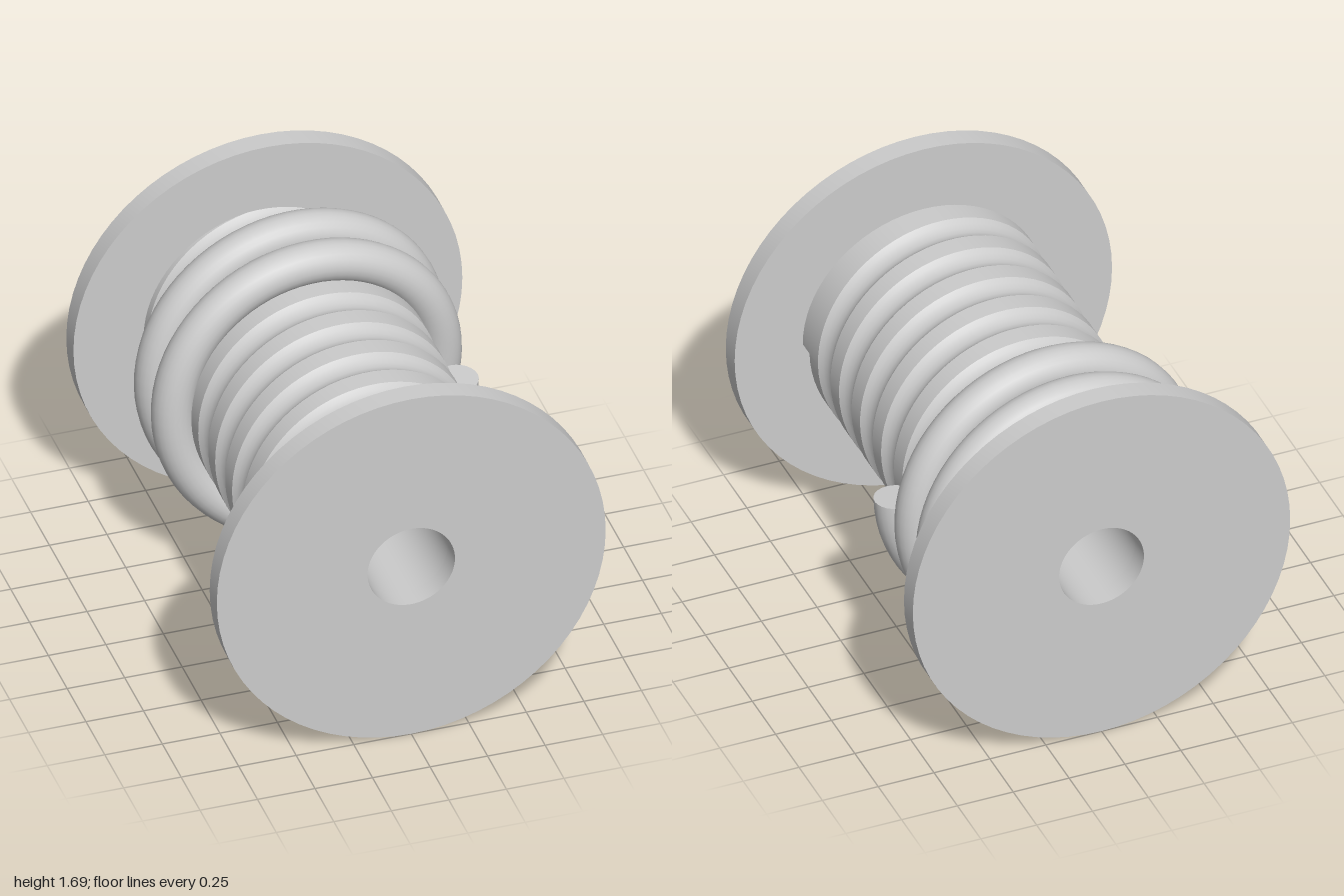
import * as THREE from 'three';
import { toCreasedNormals } from 'three/addons/utils/BufferGeometryUtils.js';

const AXIS_Y = 0.845, FLANGE_R = 0.845, BORE_R = 0.19, FLANGE_T = 0.095;
const DRUM_R = 0.54, PITCH = 0.225, TURNS = 8, Z0 = 0.9, Z_END = 0.97;
const ROPE_R = 0.09, COIL_R = 0.6;

// Point on the winding helix after t turns
function helix(t, r) {
  const a = t * Math.PI * 2;
  return new THREE.Vector3(r * Math.cos(a), -r * Math.sin(a), Z0 - PITCH * t);
}

// Groove section: the arc a rope leaves in the drum, as [axial offset, radius]
function grooveProfile(steps = 6) {
  const half = Math.acos((COIL_R - DRUM_R) / ROPE_R);
  return Array.from({ length: steps + 1 }, (_, i) => {
    const a = half * (1 - (2 * i) / steps);
    return [ROPE_R * Math.sin(a), COIL_R - ROPE_R * Math.cos(a)];
  });
}

// Drum skin whose rows follow the spiral groove
function drumGeometry(columns = 72) {
  const profile = grooveProfile(), pos = [], index = [];
  const rows = TURNS * profile.length + 2;
  for (let i = 0; i <= columns; i++) {
    const s = i / columns;
    const add = (r, z) => { const p = helix(s, r); pos.push(p.x, p.y, z); };
    add(DRUM_R, Z_END);
    for (let k = 0; k < TURNS; k++)
      for (const [dz, r] of profile) add(r, Z0 - PITCH * (k + s) + dz);
    add(DRUM_R, -Z_END);
    if (i === columns) break;
    for (let j = 0; j < rows - 1; j++) {
      const a = i * rows + j, b = a + rows;
      index.push(a, b, a + 1, b, b + 1, a + 1);
    }
  }
  const g = new THREE.BufferGeometry();
  g.setAttribute('position', new THREE.Float32BufferAttribute(pos, 3));
  g.setIndex(index);
  return toCreasedNormals(g, 0.5);
}

class HelixCurve extends THREE.Curve {
  constructor(t0, t1) { super(); this.t0 = t0; this.t1 = t1; }
  getPoint(u, target = new THREE.Vector3()) {
    return target.copy(helix(this.t0 + (this.t1 - this.t0) * u, COIL_R));
  }
}

export function createModel() {
  const model = new THREE.Group();
  const grey = new THREE.MeshStandardMaterial({ color: 0xcccccc });
  const greyDouble = new THREE.MeshStandardMaterial({ color: 0xcccccc, side: THREE.DoubleSide });
  const spool = new THREE.Group();
  spool.name = 'spool';
  spool.position.y = AXIS_Y;
  model.add(spool);
  const part = (name, geometry, material = grey, parent = spool) => {
    const mesh = new THREE.Mesh(geometry, material);
    mesh.name = name;
    parent.add(mesh);
    return mesh;
  };

  // End flanges with a central hole
  const ring = new THREE.Shape().absarc(0, 0, FLANGE_R, 0, Math.PI * 2);
  ring.holes.push(new THREE.Path().absarc(0, 0, BORE_R, 0, Math.PI * 2, true));
  const flange = toCreasedNormals(
    new THREE.ExtrudeGeometry(ring, { depth: FLANGE_T, bevelEnabled: false, curveSegments: 36 }), 0.5);
  part('frontFlange', flange).position.z = 1 - FLANGE_T;
  part('backFlange', flange).position.z = -1;

  // Bore through the whole spool
  const bore = new THREE.CylinderGeometry(BORE_R, BORE_R, 2 - 2 * FLANGE_T, 72, 1, true);
  part('bore', bore.rotateX(Math.PI / 2), greyDouble);

  // Grooved drum, with the small walls where the groove starts and stops
  part('groovedDrum', drumGeometry());
  const section = new THREE.Shape(grooveProfile().map(([dz, r]) => new THREE.Vector2(r, dz)));
  const wall = new THREE.ShapeGeometry(section).rotateX(Math.PI / 2);
  part('grooveStart', wall, greyDouble).position.z = Z0;
  part('grooveStop', wall, greyDouble).position.z = -Z0;

  // Two turns of rope lying in the groove, closed by end discs
  const rope = new THREE.Group();
  rope.name = 'rope';
  spool.add(rope);
  const path = new HelixCurve(5, 7);
  part('ropeCoil', new THREE.TubeGeometry(path, 144, ROPE_R, 24), grey, rope);
  for (const [name, u, sign] of [['ropeStart', 0, -1], ['ropeEnd', 1, 1]]) {
    const cap = part(name, new THREE.CircleGeometry(ROPE_R, 24), grey, rope);
    cap.position.copy(path.getPoint(u));
    cap.quaternion.setFromUnitVectors(
      new THREE.Vector3(0, 0, 1), path.getTangent(u).multiplyScalar(sign));
  }
  return model;
}
